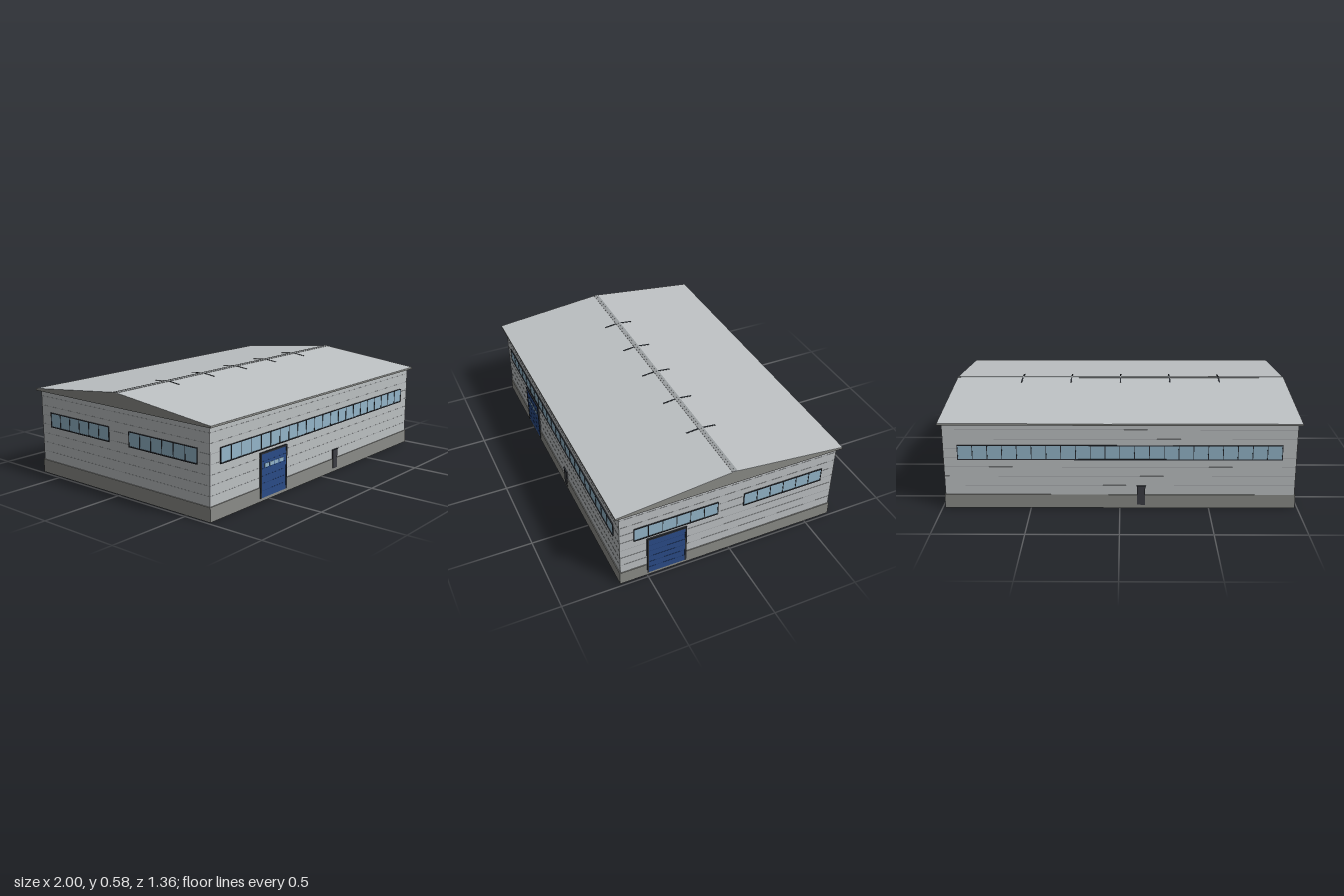
import * as THREE from 'three';

const mat = (name, color, side = THREE.FrontSide) => {
  const m = new THREE.MeshStandardMaterial({ color, side });
  m.name = name;
  return m;
};

export function createModel() {
  const wallMat = mat('wall panel grey', 0xbcc0c2);
  const seamMat = mat('seam grey', 0x9a9ea0);
  const roofMat = mat('roof grey', 0xbec2c4);
  const baseMat = mat('concrete grey', 0x8a8b87);
  const frameMat = mat('frame charcoal', 0x2b2f35);
  const doorMat = mat('small door grey', 0x3b3d43);
  const glassMat = mat('window glass', 0x93b5c9);
  const blueMat = mat('gate blue', 0x2a4b86);
  const blueSeamMat = mat('gate seam blue', 0x213c6e);

  const model = new THREE.Group();
  model.name = 'warehouse';
  const HX = 0.98, HZ = 0.655;

  const box = (parent, name, m, w, h, d, x, y, z) => {
    const mesh = new THREE.Mesh(new THREE.BoxGeometry(w, h, d), m);
    mesh.name = name;
    mesh.position.set(x, y, z);
    parent.add(mesh);
    return mesh;
  };

  // Plinth and walls
  box(model, 'plinth', baseMat, 1.97, 0.08, 1.32, 0, 0.04, 0);
  box(model, 'walls', wallMat, HX * 2, 0.42, HZ * 2, 0, 0.29, 0);

  // Solid gabled roof: concrete-grey ends and fascias, light slopes
  const EAVE = 0.508, RIDGE = 0.58, RZ = 0.68;
  const profile = new THREE.Shape([
    [-RZ, 0.497], [RZ, 0.497], [RZ, EAVE - 0.002], [0, RIDGE - 0.002], [-RZ, EAVE - 0.002],
  ].map(([a, b]) => new THREE.Vector2(a, b)));
  const core = new THREE.ExtrudeGeometry(profile, { depth: 2, bevelEnabled: false });
  core.translate(0, 0, -1).rotateY(Math.PI / 2);
  const coreMesh = new THREE.Mesh(core, baseMat);
  coreMesh.name = 'gableAndEaves';
  model.add(coreMesh);

  const angle = Math.atan2(RIDGE - EAVE, RZ);
  const slopeLength = Math.hypot(RIDGE - EAVE, RZ);
  for (const s of [1, -1]) {
    const slope = new THREE.Group();
    slope.name = s > 0 ? 'frontSlope' : 'backSlope';
    slope.position.y = RIDGE;
    slope.rotation.order = 'YXZ';
    slope.rotation.set(angle, s > 0 ? 0 : Math.PI, 0);
    model.add(slope);
    box(slope, 'roofSheet', roofMat, 2, 0.002, slopeLength, 0, -0.001, slopeLength / 2);
    box(slope, 'ridgeCap', seamMat, 2, 0.003, 0.015, 0, 0.0005, 0.0075);
    // Dark straps across the ridge
    for (let i = -2; i <= 2; i++) {
      box(slope, 'ridgeStrap', frameMat, 0.008, 0.003, 0.077, i * 0.3, 0.0005, 0.0525);
    }
  }

  // Each wall face is a group with x along the wall and z pointing outward
  const face = (name, turn, distance) => {
    const g = new THREE.Group();
    g.name = name;
    g.rotation.y = turn;
    g.position.set(Math.sin(turn) * distance, 0, Math.cos(turn) * distance);
    model.add(g);
    return g;
  };
  const front = face('frontWall', 0, HZ);
  const back = face('backWall', Math.PI, HZ);
  const right = face('doorSideWall', Math.PI / 2, HX);
  const left = face('plainSideWall', -Math.PI / 2, HX);

  // Horizontal panel seams
  for (const [wall, half] of [[front, HX], [back, HX], [right, HZ], [left, HZ]]) {
    for (let i = 1; i < 8; i++) {
      box(wall, 'panelSeam', seamMat, half * 2, 0.002, 0.001, 0, 0.08 + i * 0.055, 0.0003);
    }
  }

  // Ribbon window: glass, two rails and evenly spaced mullions
  const ribbon = (wall, x0, x1, panes) => {
    const g = new THREE.Group();
    g.name = 'ribbonWindow';
    wall.add(g);
    const w = x1 - x0, cx = (x0 + x1) / 2;
    box(g, 'glass', glassMat, w, 0.082, 0.003, cx, 0.332, 0.0015);
    box(g, 'sill', frameMat, w + 0.004, 0.006, 0.006, cx, 0.291, 0.003);
    box(g, 'head', frameMat, w + 0.004, 0.004, 0.006, cx, 0.373, 0.003);
    for (let i = 0; i <= panes; i++) {
      box(g, 'mullion', frameMat, 0.004, 0.082, 0.005, x0 + (w * i) / panes, 0.332, 0.0025);
    }
  };
  for (const wall of [front, back]) ribbon(wall, -0.9, 0.9, 22);
  for (const wall of [right, left]) {
    ribbon(wall, -0.572, -0.08, 6);
    ribbon(wall, 0.08, 0.572, 6);
  }

  // Sectional gate with frame, optional row of small windows
  const gate = (wall, x, glazed) => {
    const g = new THREE.Group();
    g.name = 'gate';
    g.position.x = x;
    wall.add(g);
    box(g, 'gatePanel', blueMat, 0.214, 0.248, 0.006, 0, 0.142, 0.004);
    for (let i = 1; i < 6; i++) {
      box(g, 'gateSeam', blueSeamMat, 0.214, 0.002, 0.001, 0, 0.018 + i * 0.041, 0.0072);
    }
    for (const s of [-1, 1]) box(g, 'jamb', frameMat, 0.01, 0.255, 0.009, s * 0.112, 0.1455, 0.0045);
    box(g, 'lintel', frameMat, 0.234, 0.01, 0.009, 0, 0.268, 0.0045);
    if (!glazed) return;
    for (let i = 0; i < 4; i++) {
      box(g, 'gateWindow', glassMat, 0.035, 0.021, 0.002, (i - 1.5) * 0.043, 0.197, 0.0075);
    }
  };
  gate(front, -0.465, true);
  gate(right, -0.383, false);

  // Small personnel doors
  for (const [wall, x] of [[front, 0.136], [back, 0.12]]) {
    const g = new THREE.Group();
    g.name = 'personnelDoor';
    g.position.x = x;
    wall.add(g);
    box(g, 'doorLeaf', doorMat, 0.045, 0.113, 0.007, 0, 0.0765, 0.0035);
    box(g, 'doorHead', frameMat, 0.054, 0.004, 0.009, 0, 0.134, 0.0045);
  }

  return model;
}
